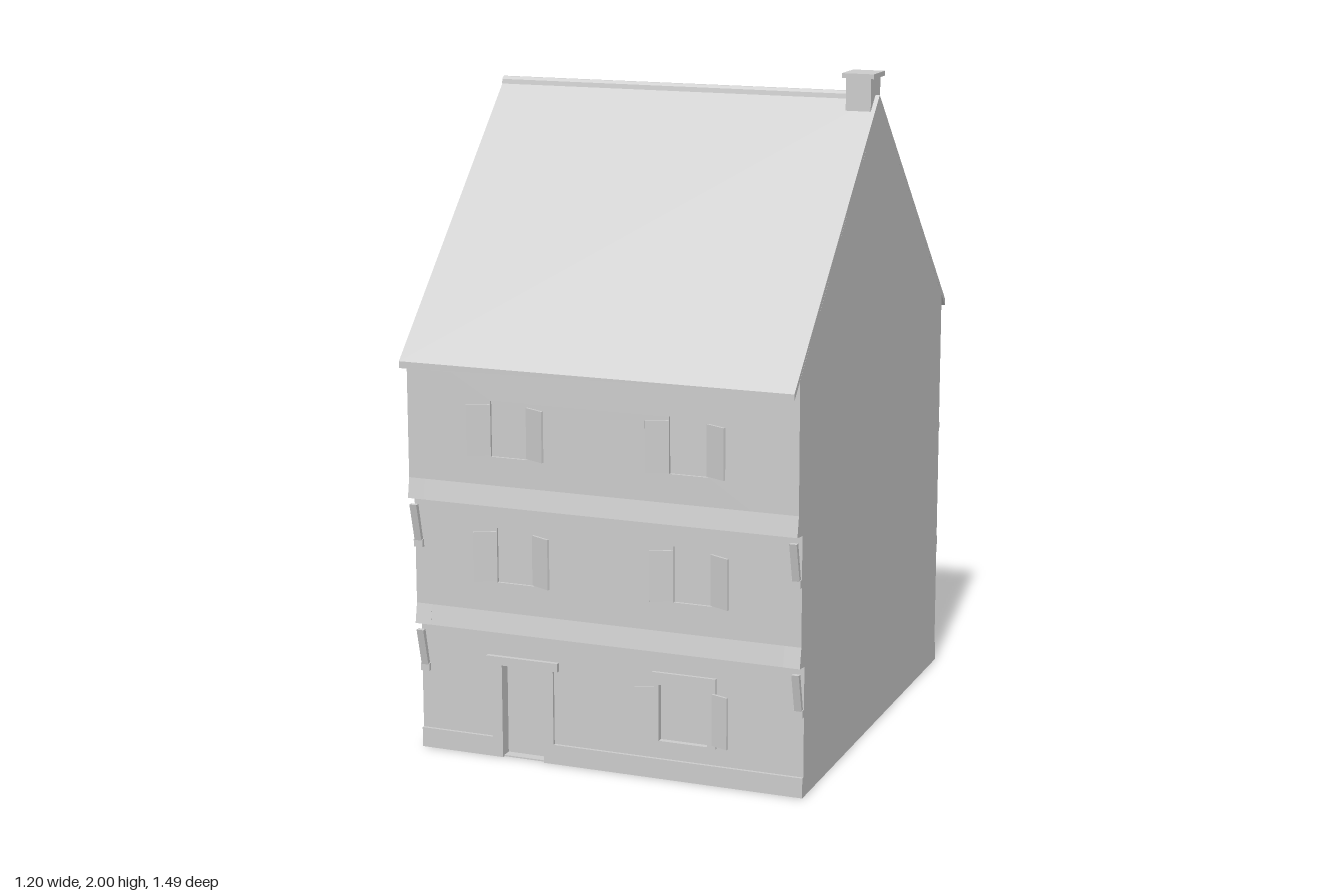
import * as THREE from 'three';

const WALL = 0.05;      // wall thickness
const HALF = 0.6;       // half width of the house
const FRONT = [0.635, 0.663, 0.695]; // front face of each storey
const BACK = -0.7;
const FLOORS = [0.395, 0.785];

export function createModel() {
  const house = new THREE.Group();
  house.name = 'house';
  const plaster = new THREE.MeshStandardMaterial({ color: 0xcccccc });
  plaster.name = 'pale grey';

  const add = (name, geometry) => {
    const mesh = new THREE.Mesh(geometry, plaster);
    mesh.name = name;
    house.add(mesh);
    return mesh;
  };
  // box given by its limits
  const block = (name, x0, x1, y0, y1, z0, z1) =>
    add(name, new THREE.BoxGeometry(x1 - x0, y1 - y0, z1 - z0)
      .translate((x0 + x1) / 2, (y0 + y1) / 2, (z0 + z1) / 2));
  // [z, y] profile swept along x
  const sweep = (name, points, x0, x1) => {
    const shape = new THREE.Shape(points.map(([z, y]) => new THREE.Vector2(z, y)));
    return add(name, new THREE.ExtrudeGeometry(shape, { depth: x1 - x0, bevelEnabled: false })
      .rotateY(-Math.PI / 2).translate(x1, 0, 0));
  };
  const rectangle = (Type, x0, x1, y0, y1) => new Type([
    new THREE.Vector2(x0, y0), new THREE.Vector2(x1, y0),
    new THREE.Vector2(x1, y1), new THREE.Vector2(x0, y1)]);
  // upright slab with rectangular openings
  const slab = (name, limits, openings, z0, z1) => {
    const shape = rectangle(THREE.Shape, ...limits);
    shape.holes = openings.map((o) => rectangle(THREE.Path, ...o));
    return add(name, new THREE.ExtrudeGeometry(shape, { depth: z1 - z0, bevelEnabled: false })
      .translate(0, 0, z0));
  };
  // pane or door leaf set back into an opening
  const panel = (name, [x0, x1, y0, y1], face, out, recess) => {
    const z = face - out * recess;
    block(name, x0, x1, y0, y1, z - 0.004, z + 0.004);
  };
  // pair of half-open shutters
  const shutters = (left, right, y0, y1, face, length, angle) => {
    for (const side of [-1, 1]) {
      const leaf = add('shutter', new THREE.BoxGeometry(length, y1 - y0, 0.007)
        .translate(side * length / 2, 0, 0));
      leaf.position.set(side < 0 ? left : right, (y0 + y1) / 2, face + 0.004);
      leaf.rotation.y = -side * angle;
    }
  };

  // gable walls, stepped where the upper storeys jut forward
  const gable = [
    [BACK, 0], [FRONT[0], 0], [FRONT[0], 0.39],
    [0.675, 0.395], [FRONT[1], 0.455], [FRONT[1], 0.78],
    [0.706, 0.785], [FRONT[2], 0.845], [FRONT[2], 1.227],
    [0, 1.915], [BACK, 1.222],
  ];
  sweep('gableWall', gable, HALF - WALL, HALF);
  sweep('gableWall', gable, -HALF, -HALF + WALL);

  // front walls, one per storey
  const inner = HALF - WALL;
  const door = [-0.336, -0.204, 0.004, 0.286];
  const shopWindow = [0.161, 0.31, 0.116, 0.286];
  const storeyWindows = (y0, y1) => [-0.278, 0.273].map((x) => [x - 0.058, x + 0.058, y0, y1]);
  const storeys = [
    { y0: 0, y1: 0.41, openings: [door, shopWindow] },
    { y0: 0.395, y1: 0.8, openings: storeyWindows(0.545, 0.71) },
    { y0: 0.785, y1: 1.222, openings: storeyWindows(0.93, 1.095) },
  ];
  storeys.forEach(({ y0, y1, openings }, i) => {
    const z = FRONT[i];
    slab('frontWall', [-inner, inner, y0, y1], openings, z - WALL, z);
    openings.forEach((o) => {
      if (o === door) return panel('frontDoor', o, z, 1, 0.035);
      panel('frontWindow', o, z, 1, 0.012);
      if (i > 0) shutters(o[0], o[1], o[2] + 0.005, o[3] - 0.01, z, 0.068, 0.45);
    });
  });
  shutters(0.148, 0.328, 0.125, 0.28, 0.644, 0.056, 0.36);

  // back wall
  const backDoor = [0.204, 0.336, 0.004, 0.286];
  const backWindows = [[0.55, 0.705], [0.94, 1.095]].flatMap(([y0, y1]) => storeyWindows(y0, y1));
  slab('backWall', [-inner, inner, 0, 1.222], [backDoor, ...backWindows], BACK, BACK + WALL);
  panel('backDoor', backDoor, BACK, -1, 0.035);
  backWindows.forEach((o) => panel('backWindow', o, BACK, -1, 0.012));

  // tapered floor bands
  FLOORS.forEach((y, i) => {
    const z = FRONT[i + 1];
    sweep('frontBand', [[FRONT[i] - WALL, y], [z + 0.011, y], [z, y + 0.06], [z - WALL, y + 0.06]], -inner, inner);
    sweep('backBand', [[BACK + 0.01, y], [BACK - 0.007, y], [BACK, y + 0.04], [BACK + 0.01, y + 0.04]], -HALF, HALF);
  });

  // plinths and door surrounds, front and back
  for (const out of [1, -1]) {
    const face = out > 0 ? FRONT[0] : BACK;
    const span = (name, x0, x1, y0, y1, depth) => {
      const a = x0 * out, b = x1 * out, z = face + out * depth;
      block(name, Math.min(a, b), Math.max(a, b), y0, y1, Math.min(face, z), Math.max(face, z));
    };
    span('plinth', -HALF, -0.368, 0, 0.06, 0.009);
    span('plinth', -0.172, HALF, 0, 0.06, 0.009);
    span('doorJamb', -0.368, -0.336, 0, 0.286, 0.009);
    span('doorJamb', -0.204, -0.172, 0, 0.286, 0.009);
    span('doorLintel', -0.384, -0.156, 0.286, 0.312, 0.013);
  }

  // ground floor window surround
  slab('windowSurround', [0.14, 0.336, 0.111, 0.323], [shopWindow], FRONT[0], FRONT[0] + 0.009);

  // slanted corner brackets under the jutting storeys
  FLOORS.forEach((y, i) => {
    const z = FRONT[i], top = y - 0.02;
    for (const side of [-1, 1]) {
      const x = side * 0.586;
      sweep('bracketStrut', [[z, y - 0.135], [z + 0.012, y - 0.135], [z + 0.041, top], [z + 0.026, top]],
        x - 0.011, x + 0.011);
      block('bracketFoot', x - 0.014, x + 0.014, y - 0.155, y - 0.132, z, z + 0.012);
    }
  });

  // roof and ridge cap
  sweep('roof', [[0.743, 1.2], [0, 1.935], [-0.743, 1.2], [-0.743, 1.18], [0, 1.915], [0.743, 1.18]], -HALF, HALF);
  sweep('ridgeCap', [[0.015, 1.922], [0.013, 1.936], [0.005, 1.944], [-0.005, 1.944], [-0.015, 1.936], [-0.017, 1.922]],
    -HALF, 0.52);

  // chimney
  block('chimneyShaft', 0.511, 0.587, 1.89, 1.987, -0.045, 0.045);
  block('chimneyCap', 0.501, 0.598, 1.986, 2, -0.054, 0.054);

  return house;
}
